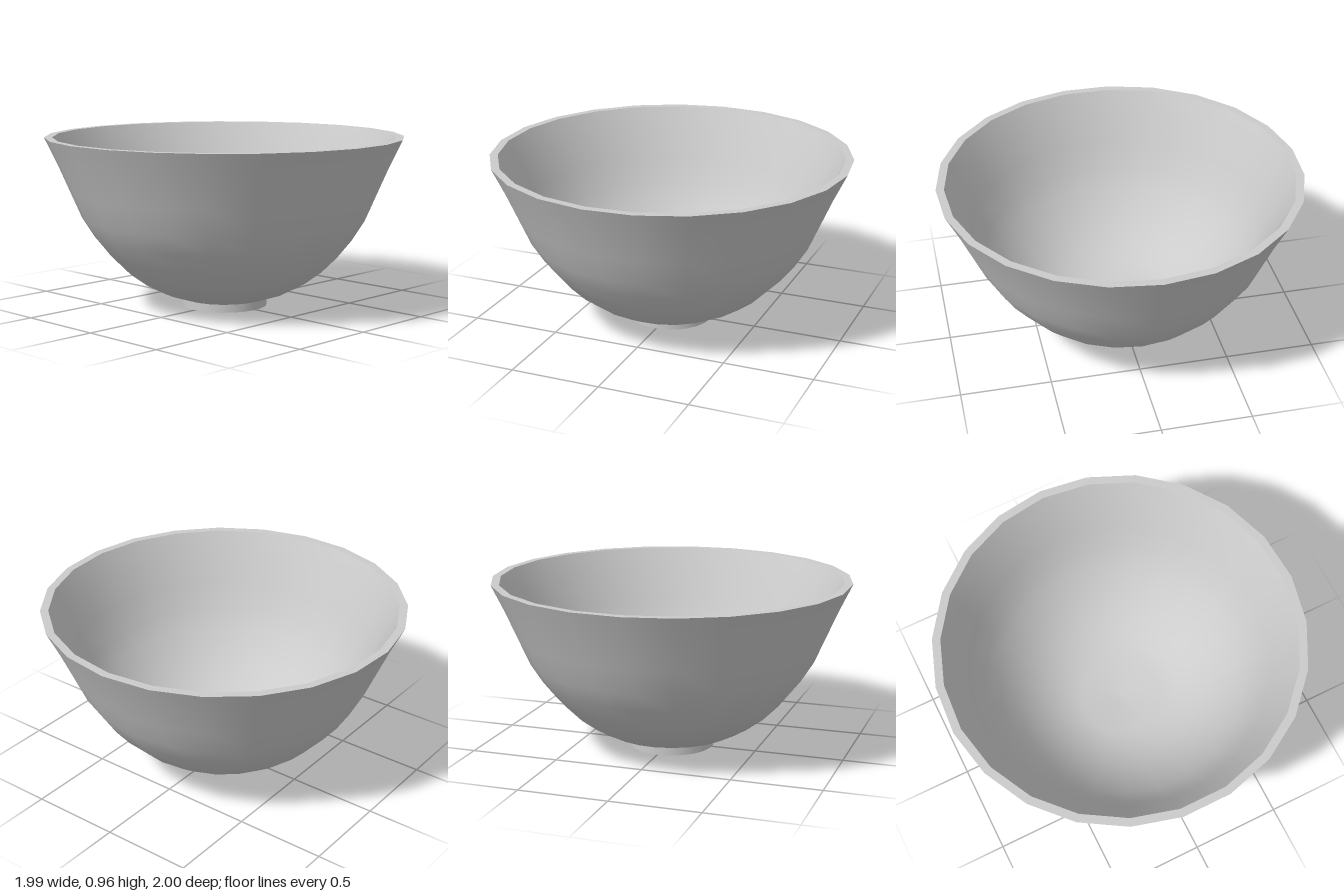
import * as THREE from 'three';

const SIDES = 23;
const material = new THREE.MeshStandardMaterial({ color: 0xcccccc });

// Revolves [radius, height] pairs, with one corner of the polygon on +x
function revolve(name, profile) {
  const points = profile.map(([r, y]) => new THREE.Vector2(r, y));
  const mesh = new THREE.Mesh(new THREE.LatheGeometry(points, SIDES, Math.PI / 2), material);
  mesh.name = name;
  return mesh;
}

export function createModel() {
  const bowl = new THREE.Group();
  bowl.name = 'bowl';

  // Smooth outer wall, from the foot to the rim
  const outer = [
    [0.24, 0.045], [0.36, 0.085], [0.465, 0.14], [0.56, 0.21], [0.65, 0.3],
    [0.73, 0.4], [0.8, 0.51], [0.865, 0.66], [0.93, 0.81], [1.002, 0.96],
  ];
  // Inner wall, running from the rim down to the centre of the floor
  const inner = [
    [0.957, 0.96], [0.887, 0.82], [0.822, 0.67], [0.757, 0.53], [0.692, 0.43],
    [0.617, 0.335], [0.532, 0.25], [0.442, 0.182], [0.345, 0.13], [0.23, 0.092], [0, 0.075],
  ];

  bowl.add(
    revolve('outerWall', outer),
    revolve('rim', [outer[outer.length - 1], inner[0]]),
    revolve('innerWall', inner),
    // Short foot with a closed underside
    revolve('footSide', [[0.24, 0], [0.24, 0.045]]),
    revolve('footBase', [[0, 0], [0.24, 0]]),
  );

  // The odd number of sides makes the outline slightly off-centre
  bowl.position.x = -0.005;

  const model = new THREE.Group();
  model.add(bowl);
  return model;
}
